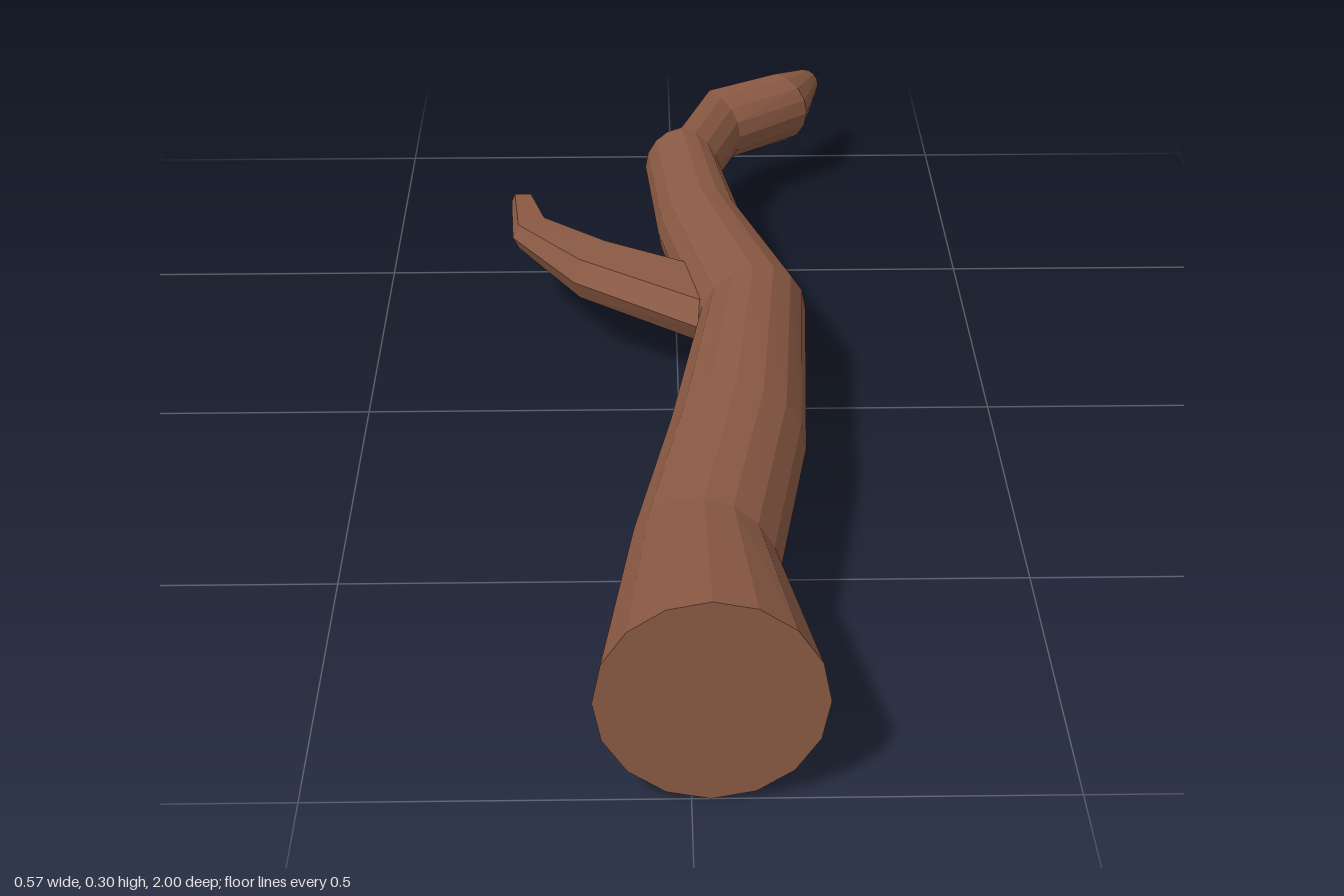
import * as THREE from 'three';

const MID_Y = 0.15;
const bark = new THREE.MeshStandardMaterial({ color: 0x8b5a44, flatShading: true });

// Skins a list of closed rings (arrays of Vector3) and caps the ends with fans.
function loft(name, rings, capStart, capEnd) {
  const pos = [];
  const tri = (...pts) => pts.forEach((p) => pos.push(p.x, p.y, p.z));
  const n = rings[0].length;
  for (let i = 0; i < rings.length - 1; i++) {
    const a = rings[i], b = rings[i + 1];
    for (let j = 0; j < n; j++) {
      const k = (j + 1) % n;
      tri(a[j], b[j], b[k]);
      tri(a[j], b[k], a[k]);
    }
  }
  const cap = (ring, flip) => {
    const c = ring.reduce((s, p) => s.add(p), new THREE.Vector3()).divideScalar(n);
    for (let j = 0; j < n; j++) {
      const k = (j + 1) % n;
      if (flip) tri(c, ring[k], ring[j]);
      else tri(c, ring[j], ring[k]);
    }
  };
  if (capStart) cap(rings[0], false);
  if (capEnd) cap(rings[rings.length - 1], true);
  const geo = new THREE.BufferGeometry();
  geo.setAttribute('position', new THREE.Float32BufferAttribute(pos, 3));
  geo.computeVertexNormals();
  const mesh = new THREE.Mesh(geo, bark);
  mesh.name = name;
  return mesh;
}

// Cross-section spanning left to right [x, z]; the middle may be pushed off the line.
function ring(angles, [left, right, ry, mid]) {
  const m = mid || [(left[0] + right[0]) / 2, (left[1] + right[1]) / 2];
  return angles.map((a) => {
    const c = Math.cos(a), side = c > 0 ? right : left, t = Math.abs(c);
    return new THREE.Vector3(
      m[0] + t * (side[0] - m[0]),
      MID_Y + ry * Math.sin(a),
      m[1] + t * (side[1] - m[1]));
  });
}

export function createModel() {
  const group = new THREE.Group();
  group.name = 'branch';

  // Main limb: sixteen-sided, left point, right point, half height
  const full = Array.from({ length: 16 }, (_, i) => (i * Math.PI) / 8);
  const limb = [
    [[-0.125, 1], [0.175, 1], 0.15],
    [[-0.08, 0.66], [0.125, 0.71], 0.105],
    [[-0.025, 0.36], [0.18, 0.38], 0.105],
    [[0.03, 0], [0.205, -0.06], 0.093],
    [[-0.03, -0.35], [0.115, -0.37], 0.078],
    [[-0.05, -0.62], [0.08, -0.61], 0.07, [0.015, -0.635]],
  ];
  group.add(loft('mainLimb', limb.map((r) => ring(full, r)), true, true));

  // Split end: half-round, flat on its left, continuing the right half of the limb
  const half = Array.from({ length: 9 }, (_, i) => -Math.PI / 2 + (i * Math.PI) / 8);
  const split = [
    [[0.015, -0.635], [0.08, -0.61], 0.07],
    [[0.07, -0.81], [0.125, -0.75], 0.069],
    [[0.195, -0.89], [0.255, -0.86], 0.068],
    [[0.255, -1], [0.285, -1], 0.032],
  ].map(([l, r, ry]) => ring(half, [l, r, ry, l]));
  group.add(loft('splitEnd', split, false, true));

  // Side twig: six-sided with a ridge along its front and back
  const hex = [0, 0.8, Math.PI - 0.8, Math.PI, Math.PI + 0.8, -0.8];
  const k = 1 / Math.sin(0.8);
  const twig = [
    [[0.06, 0.025], [0.07, -0.15], 0.038 * k],
    [[-0.17, -0.16], [-0.11, -0.26], 0.035 * k],
    [[-0.277, -0.33], [-0.215, -0.37], 0.022 * k],
    [[-0.285, -0.475], [-0.245, -0.475], 0.015 * k],
  ];
  group.add(loft('sideTwig', twig.map((r) => ring(hex, r)), true, true));

  return group;
}
